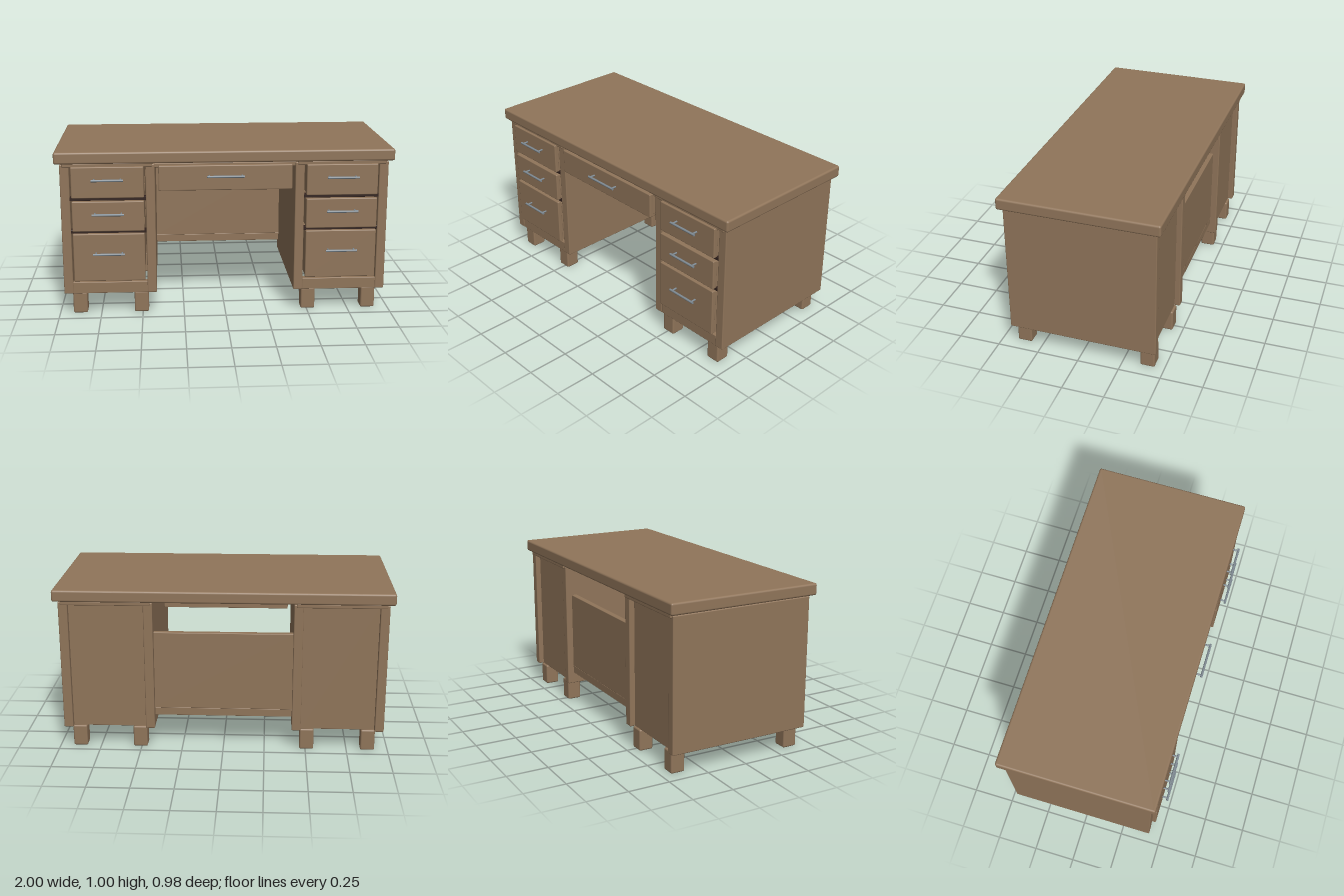
import * as THREE from 'three';
import { RoundedBoxGeometry } from 'three/addons/geometries/RoundedBoxGeometry.js';

const wood = new THREE.MeshStandardMaterial({ color: 0x90755a });
wood.name = 'wood';
const metal = new THREE.MeshStandardMaterial({ color: 0x7f8a92 });
metal.name = 'metal';
const darkWood = new THREE.MeshStandardMaterial({ color: 0x33231e });
darkWood.name = 'darkWood';

// Softly rounded board given by its extents
function board(name, [x0, x1], [y0, y1], [z0, z1], radius = 0.006, material = wood) {
  const w = x1 - x0, h = y1 - y0, d = z1 - z0;
  const r = Math.min(radius, w * 0.45, h * 0.45, d * 0.45);
  const mesh = new THREE.Mesh(new RoundedBoxGeometry(w, h, d, 2, r), material);
  mesh.position.set((x0 + x1) / 2, (y0 + y1) / 2, (z0 + z1) / 2);
  mesh.name = name;
  return mesh;
}

// Bar handle on two posts, standing off the drawer front
function handle(x, y, width, postSpan) {
  const group = new THREE.Group();
  group.name = 'handle';
  const bar = new THREE.Mesh(new THREE.CylinderGeometry(0.007, 0.007, width, 14), metal);
  bar.name = 'handleBar';
  bar.rotation.z = Math.PI / 2;
  bar.position.z = 0.484;
  group.add(bar);
  for (const s of [-1, 1]) {
    const post = new THREE.Mesh(new THREE.CylinderGeometry(0.0055, 0.0055, 0.04, 12), metal);
    post.name = 'handlePost';
    post.rotation.x = Math.PI / 2;
    post.position.set(s * postSpan / 2, 0, 0.464);
    group.add(post);
  }
  group.position.set(x, y, 0);
  return group;
}

// Drawer pedestal centred on its own x = 0
function pedestal(name) {
  const g = new THREE.Group();
  g.name = name;
  for (const s of [-1, 1]) {
    const c = s * 0.25;
    g.add(board('sidePanel', [c - 0.0275, c + 0.0275], [0.13, 0.922], [-0.462, 0.427]));
    for (const [z0, z1] of [[0.32, 0.408], [-0.442, -0.355]]) {
      const x = s * 0.185;
      g.add(board('leg', [x - 0.043, x + 0.043], [0, 0.132], [z0, z1], 0.01));
    }
  }
  g.add(board('capBoard', [-0.263, 0.263], [0.906, 0.932], [-0.472, 0.436]));
  g.add(board('backPanel', [-0.225, 0.225], [0.13, 0.915], [-0.43, -0.4], 0.004));
  g.add(board('bottomRail', [-0.225, 0.225], [0.13, 0.2], [0.38, 0.424], 0.004));

  // Dividers between the drawers
  for (const y of [0.715, 0.515])
    g.add(board('drawerDivider', [-0.224, 0.224], [y - 0.01, y + 0.01], [0.38, 0.424], 0.002, darkWood));

  // Three drawers, the lowest one deepest
  for (const [y0, y1, hy] of [[0.725, 0.912, 0.838], [0.523, 0.705, 0.632], [0.215, 0.508, 0.39]]) {
    g.add(board('drawerFront', [-0.212, 0.212], [y0, y1], [0.422, 0.45]));
    g.add(board('drawerBox', [-0.208, 0.208], [y0 + 0.003, y1 - 0.012], [-0.34, 0.425], 0.003));
    g.add(handle(0, hy, 0.187, 0.155));
  }
  return g;
}

export function createModel() {
  const desk = new THREE.Group();
  desk.name = 'desk';

  desk.add(board('deskTop', [-1, 1], [0.93, 1], [-0.49, 0.455], 0.012));

  for (const [name, x] of [['rightPedestal', -0.692], ['leftPedestal', 0.692]]) {
    const p = pedestal(name);
    p.position.x = x;
    desk.add(p);
  }

  // Centre drawer under the top
  desk.add(board('centreRail', [-0.418, 0.418], [0.9, 0.925], [0.385, 0.422], 0.004));
  desk.add(board('centreDrawerFront', [-0.394, 0.394], [0.765, 0.915], [0.422, 0.45]));
  desk.add(board('centreDrawerBox', [-0.385, 0.385], [0.775, 0.9], [-0.05, 0.425], 0.003));
  desk.add(handle(0, 0.853, 0.22, 0.195));

  // Modesty panel across the back of the knee space
  desk.add(board('modestyPanel', [-0.418, 0.418], [0.25, 0.73], [-0.422, -0.387], 0.004));
  desk.add(board('modestyRail', [-0.418, 0.418], [0.203, 0.252], [-0.422, -0.387], 0.003));

  return desk;
}
